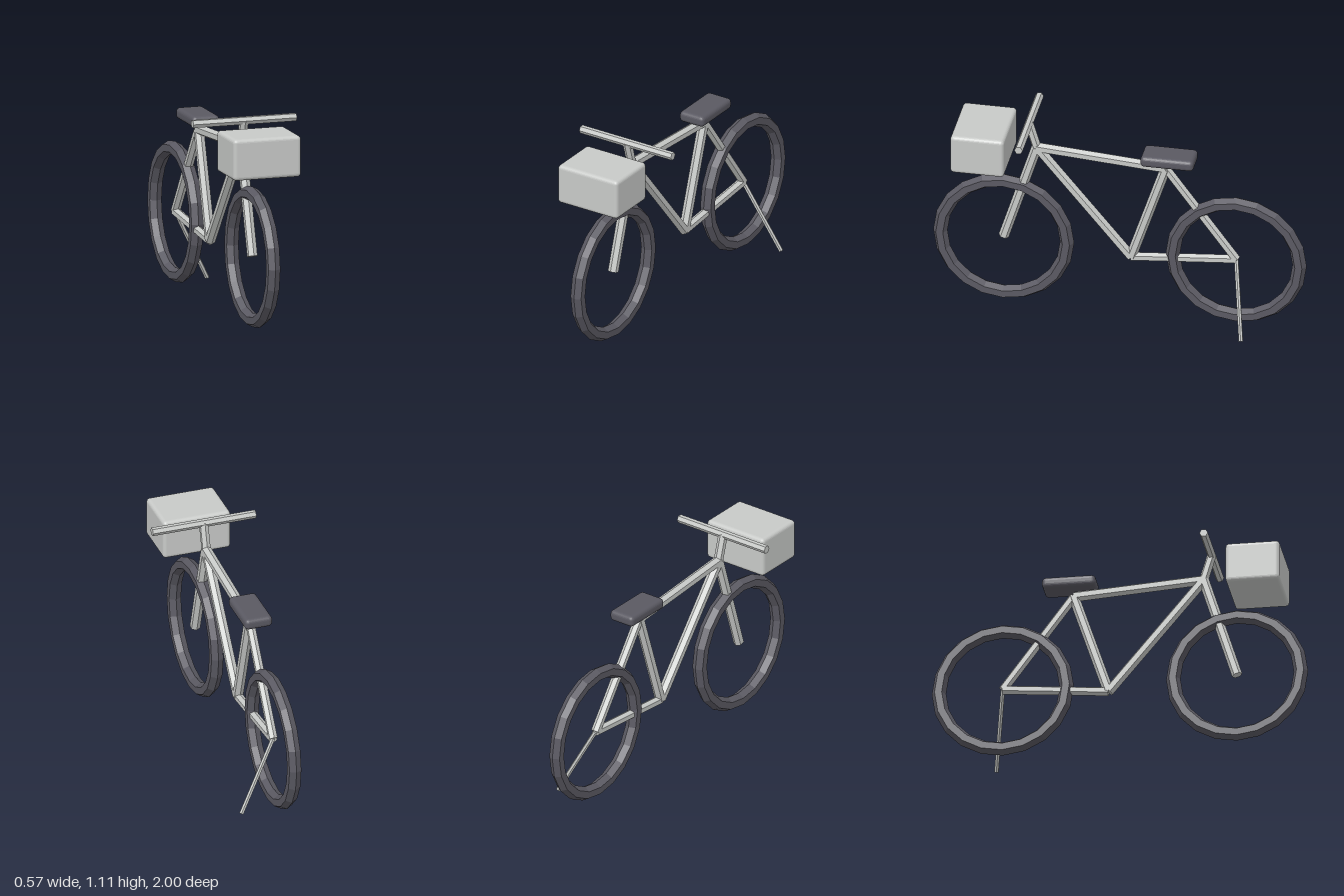
import * as THREE from 'three';
import { RoundedBoxGeometry } from 'three/addons/geometries/RoundedBoxGeometry.js';

const flat = (name, color) => {
  const m = new THREE.MeshStandardMaterial({ color });
  m.name = name;
  return m;
};

export function createModel() {
  const bike = new THREE.Group();
  bike.name = 'bicycle';
  const silver = flat('silver', 0xc8cac8);
  const charcoal = flat('charcoal', 0x5a5962);
  silver.flatShading = charcoal.flatShading = true;

  const add = (name, geometry, material, x, y, z) => {
    const mesh = new THREE.Mesh(geometry, material);
    mesh.name = name;
    mesh.position.set(x, y, z);
    bike.add(mesh);
    return mesh;
  };

  // six-sided tube between two points
  const tube = (name, a, b, radius) => {
    const dir = b.clone().sub(a);
    const mid = a.clone().add(b).multiplyScalar(0.5);
    const mesh = add(name, new THREE.CylinderGeometry(radius, radius, dir.length(), 6), silver, mid.x, mid.y, mid.z);
    mesh.quaternion.setFromUnitVectors(new THREE.Vector3(0, 1, 0), dir.normalize());
  };

  // frame joints
  const at = (y, z, x = 0) => new THREE.Vector3(x, y, z);
  const head = at(0.95, 0.445);
  const seatTop = at(0.9, -0.245);
  const crank = at(0.34, -0.06);
  const frontAxle = at(0.388, 0.622);
  const rearAxle = at(0.388, -0.622);
  const barCentre = at(1.09, 0.487);

  // frame, fork and stem
  tube('topTube', head, seatTop, 0.028);
  tube('downTube', head, crank, 0.028);
  tube('seatTube', seatTop, crank, 0.028);
  tube('chainStay', crank, rearAxle, 0.025);
  tube('seatStay', seatTop, rearAxle, 0.025);
  tube('fork', head, frontAxle, 0.028);
  tube('stem', head, barCentre, 0.025);
  tube('handlebar', at(1.09, 0.487, -0.287), at(1.09, 0.487, 0.287), 0.0225);
  tube('kickstand', rearAxle, at(0.006, -0.686, 0.198), 0.0125);

  // tyres
  for (const [name, axle] of [['frontTyre', frontAxle], ['rearTyre', rearAxle]]) {
    const tyre = new THREE.TorusGeometry(0.339, 0.038, 6, 20).rotateY(Math.PI / 2);
    add(name, tyre, charcoal, 0, 0.386, axle.z);
  }

  // saddle and front box
  add('saddle', new RoundedBoxGeometry(0.152, 0.06, 0.284, 3, 0.022), charcoal, 0, 0.963, -0.263);
  add('frontBox', new RoundedBoxGeometry(0.375, 0.22, 0.287, 3, 0.02), silver, 0, 0.96, 0.73);

  return bike;
}
